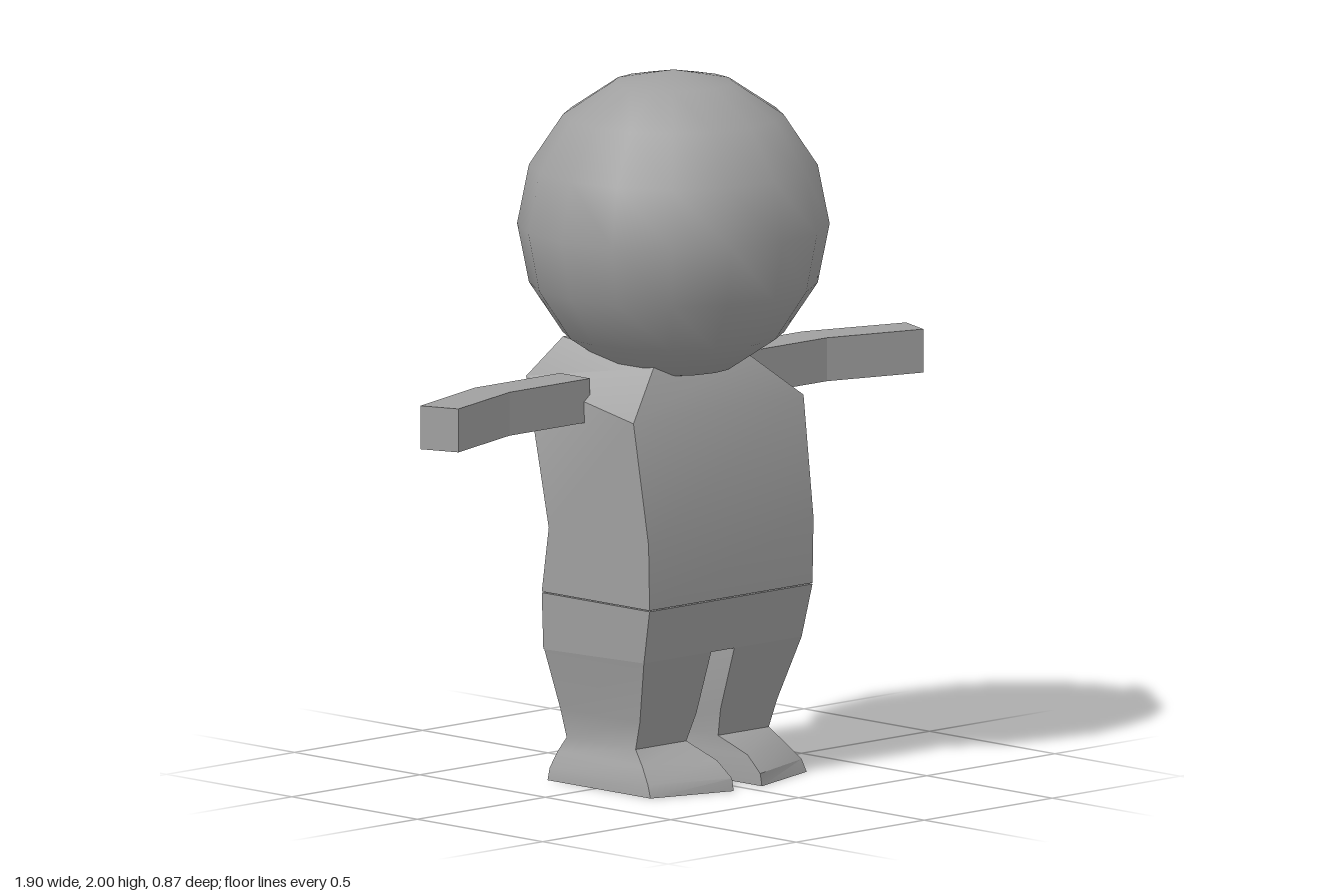
import * as THREE from 'three';
import { toCreasedNormals } from 'three/addons/utils/BufferGeometryUtils.js';

// Closed skin over four-cornered rings, listed from bottom to top
function loft(rings) {
  const index = [];
  for (let i = 0; i < rings.length - 1; i++) {
    for (let j = 0; j < 4; j++) {
      const k = (j + 1) % 4, a = i * 4 + j, b = i * 4 + k, c = b + 4, d = a + 4;
      index.push(a, b, c, a, c, d);
    }
  }
  const t = (rings.length - 1) * 4;
  index.push(0, 2, 1, 0, 3, 2, t, t + 1, t + 2, t, t + 2, t + 3);
  const geo = new THREE.BufferGeometry();
  geo.setAttribute('position', new THREE.Float32BufferAttribute(rings.flat(2), 3));
  geo.setIndex(index);
  return toCreasedNormals(geo, 0.6);
}

// Symmetric ring from its front and back corners on the +x side
const ring = ([fx, fy, fz], [bx, by, bz]) => [[fx, fy, fz], [bx, by, bz], [-bx, by, bz], [-fx, fy, fz]];
const mirrorRing = (r) => r.map(([x, y, z]) => [-x, y, z]).reverse();

export function createModel() {
  const model = new THREE.Group();
  model.name = 'figure';
  const grey = new THREE.MeshStandardMaterial({ color: 0xa0a0a0 });
  grey.name = 'grey';
  const add = (name, geo) => {
    const mesh = new THREE.Mesh(geo, grey);
    mesh.name = name;
    model.add(mesh);
  };

  // Head
  const head = new THREE.SphereGeometry(0.436, 16, 8);
  head.translate(0, 1.564, 0);
  add('head', head);

  // Torso with sloping shoulders
  add('torso', loft([
    ring([0.318, 0.535, 0.23], [0.318, 0.535, -0.2]),
    ring([0.322, 0.72, 0.23], [0.322, 0.72, -0.168]),
    ring([0.332, 1.06, 0.18], [0.325, 1.14, -0.255]),
    ring([0.18, 1.19, 0.105], [0.245, 1.25, -0.19]),
  ]));

  // Hips
  add('hips', loft([
    ring([0.308, 0.38, 0.197], [0.308, 0.37, -0.204]),
    ring([0.318, 0.532, 0.23], [0.318, 0.532, -0.2]),
  ]));

  // Leg and foot: y, inner x, outer x, back z, inner front z, outer front z
  const legRings = [
    [0, 0.055, 0.305, -0.19, 0.297, 0.22],
    [0.035, 0.055, 0.3, -0.187, 0.29, 0.205],
    [0.08, 0.06, 0.278, -0.178, 0.235, 0.16],
    [0.12, 0.062, 0.26, -0.16, 0.115, 0.115],
    [0.2, 0.047, 0.268, -0.177, 0.14, 0.14],
    [0.38, 0.045, 0.308, -0.204, 0.197, 0.197],
  ].map(([y, xi, xo, zb, zi, zo]) => [[xo, y, zo], [xo, y, zb], [xi, y, zb], [xi, y, zi]]);
  add('leftLeg', loft(legRings));
  add('rightLeg', loft(legRings.map(mirrorRing)));

  // Arms bent forward at the elbow
  const outline = [[0.305, -0.14], [0.64, -0.14], [0.948, -0.04], [0.908, 0.07], [0.62, -0.02], [0.305, -0.02]];
  for (const s of [1, -1]) {
    const shape = new THREE.Shape(outline.map(([x, z]) => new THREE.Vector2(s * x, -z)));
    const arm = new THREE.ExtrudeGeometry(shape, { depth: 0.123, bevelEnabled: false });
    arm.rotateX(-Math.PI / 2);
    arm.translate(0, 1.037, 0);
    add(s > 0 ? 'leftArm' : 'rightArm', arm);
  }
  return model;
}
